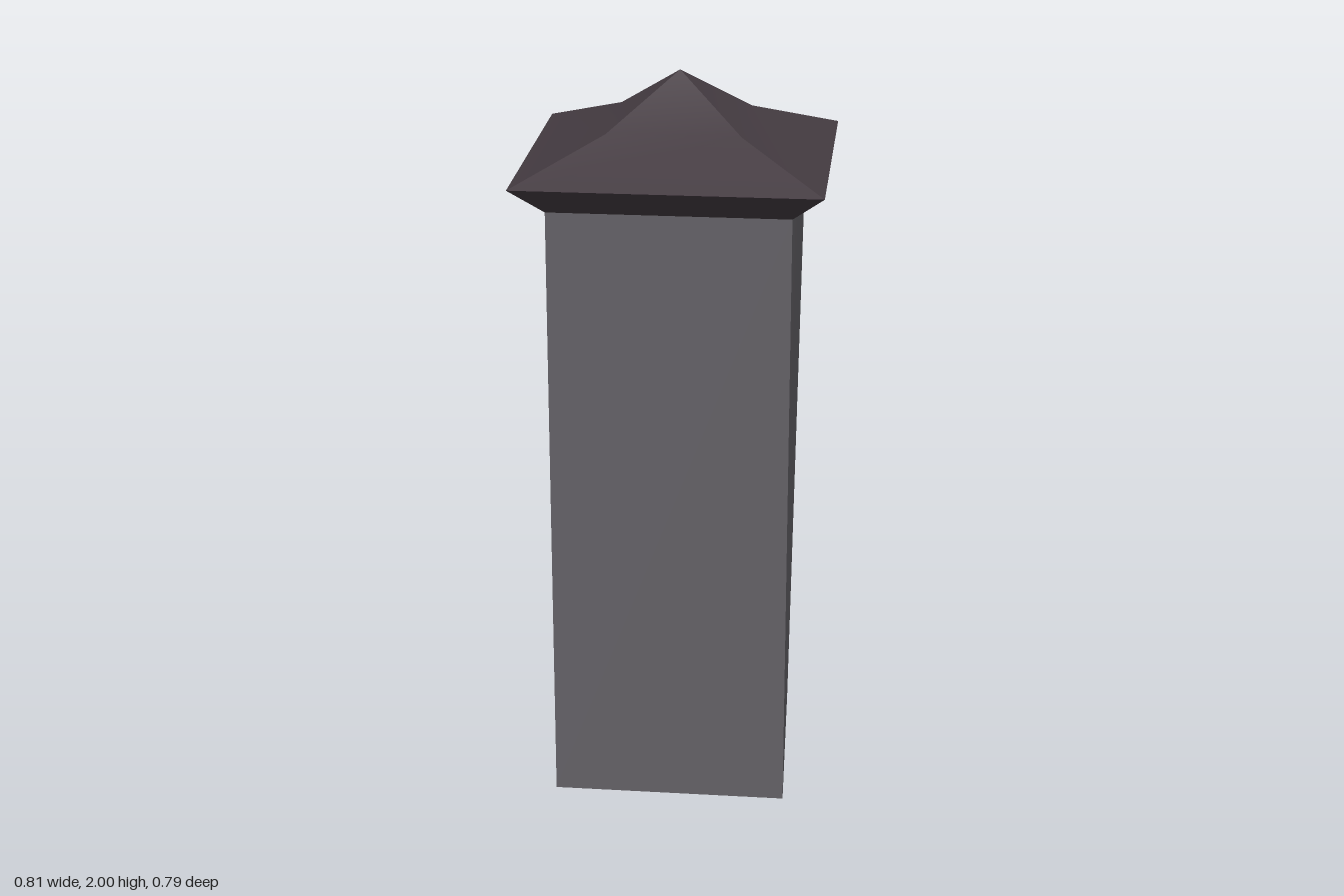
import * as THREE from 'three';

// Ring of four corners at height y: front left, front right, back right, back left (by x sign)
const rect = (x, y, z) => [[-x, y, z], [x, y, z], [x, y, -z], [-x, y, -z]];

// One side strip running up through the rings, smooth along its height
function sideStrip(rings, side) {
  const pos = [], index = [];
  rings.forEach((ring, i) => {
    pos.push(...ring[side], ...ring[(side + 1) % 4]);
    if (i > 0) {
      const a = 2 * i - 2;
      index.push(a, a + 1, a + 3, a, a + 3, a + 2);
    }
  });
  const geo = new THREE.BufferGeometry();
  geo.setAttribute('position', new THREE.Float32BufferAttribute(pos, 3));
  geo.setIndex(index);
  geo.computeVertexNormals();
  return geo;
}

function shell(name, rings, material) {
  const group = new THREE.Group();
  group.name = name;
  for (let side = 0; side < 4; side++) {
    const mesh = new THREE.Mesh(sideStrip(rings, side), material);
    mesh.name = name + 'Side' + (side + 1);
    group.add(mesh);
  }
  return group;
}

export function createModel() {
  const stone = new THREE.MeshStandardMaterial({ color: 0x636166, side: THREE.DoubleSide });
  stone.name = 'grey stone';
  const slate = new THREE.MeshStandardMaterial({ color: 0x453c42, side: THREE.DoubleSide });
  slate.name = 'dark slate';

  const model = new THREE.Group();
  model.name = 'tower';

  // Hollow shaft, open underneath, with one corner leaning in at the foot
  const top = rect(0.32, 1.69, 0.31);
  const foot = rect(0.32, 0, 0.31);
  foot[2][0] = 0.295;
  model.add(shell('shaft', [foot, top], stone));

  // Sloping underside of the eaves
  const eave = rect(0.405, 1.77, 0.395);
  model.add(shell('eaves', [top, eave], slate));

  // Flared pyramid roof
  const bend = rect(0.178, 1.865, 0.172);
  const apex = rect(0.0005, 2, 0.0005);
  model.add(shell('roof', [eave, bend, apex], slate));

  return model;
}
